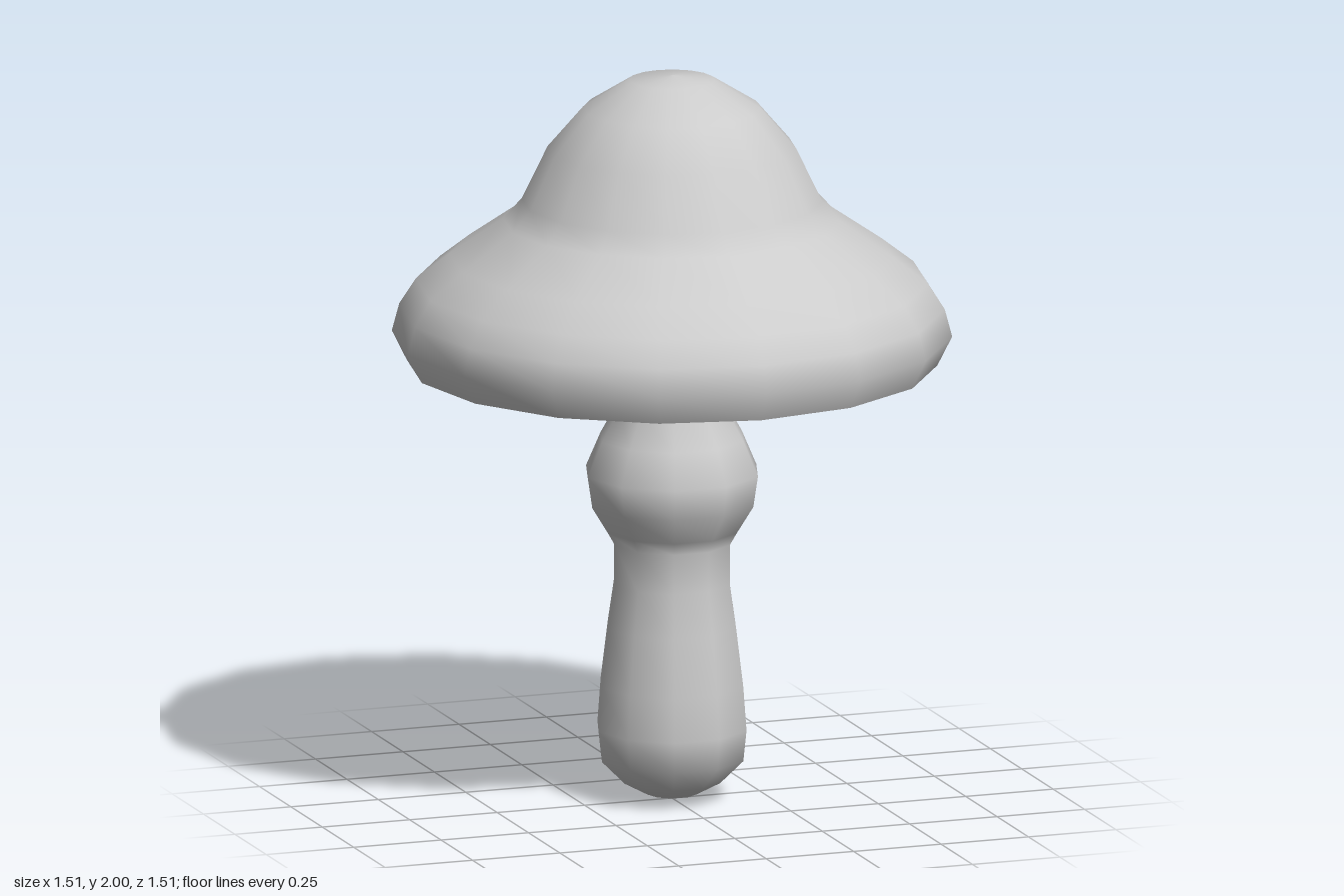
import * as THREE from 'three';

const material = new THREE.MeshStandardMaterial({ color: 0xcccccc });

// Revolve a [radius, height] profile, listed from bottom to top
function turned(name, profile, sides, start = 0) {
  const points = profile.map(([r, y]) => new THREE.Vector2(r, y));
  const mesh = new THREE.Mesh(new THREE.LatheGeometry(points, sides, start), material);
  mesh.name = name;
  return mesh;
}

export function createModel() {
  const mushroom = new THREE.Group();
  mushroom.name = 'mushroom';

  // Stem: rounded foot, tapering shaft, bulge below a narrow neck
  const stem = turned('stem', [
    [0, 0], [0.07, 0.015], [0.135, 0.05], [0.2, 0.115], [0.209, 0.2],
    [0.2, 0.32], [0.18, 0.48], [0.162, 0.6], [0.162, 0.71],
    [0.182, 0.745], [0.228, 0.82], [0.241, 0.905], [0.2, 1.0],
    [0.152, 1.085], [0.138, 1.15], [0.138, 1.21],
  ], 10, Math.PI / 2);

  // Cap: turned-in rim, flared brim and domed crown
  const cap = new THREE.Group();
  cap.name = 'cap';
  cap.add(turned('capTop', [
    [0.715, 1.205], [0.755, 1.285], [0.735, 1.36], [0.69, 1.43], [0.6, 1.5],
    [0.455, 1.6], [0.405, 1.655], [0.335, 1.8], [0.24, 1.91],
    [0.115, 1.988], [0, 2],
  ], 16));

  // Flat underside closing the cap
  const underside = new THREE.Mesh(new THREE.CircleGeometry(0.715, 16), material);
  underside.name = 'capUnderside';
  underside.rotation.x = Math.PI / 2;
  underside.position.y = 1.205;
  cap.add(underside);

  mushroom.add(stem, cap);
  return mushroom;
}
